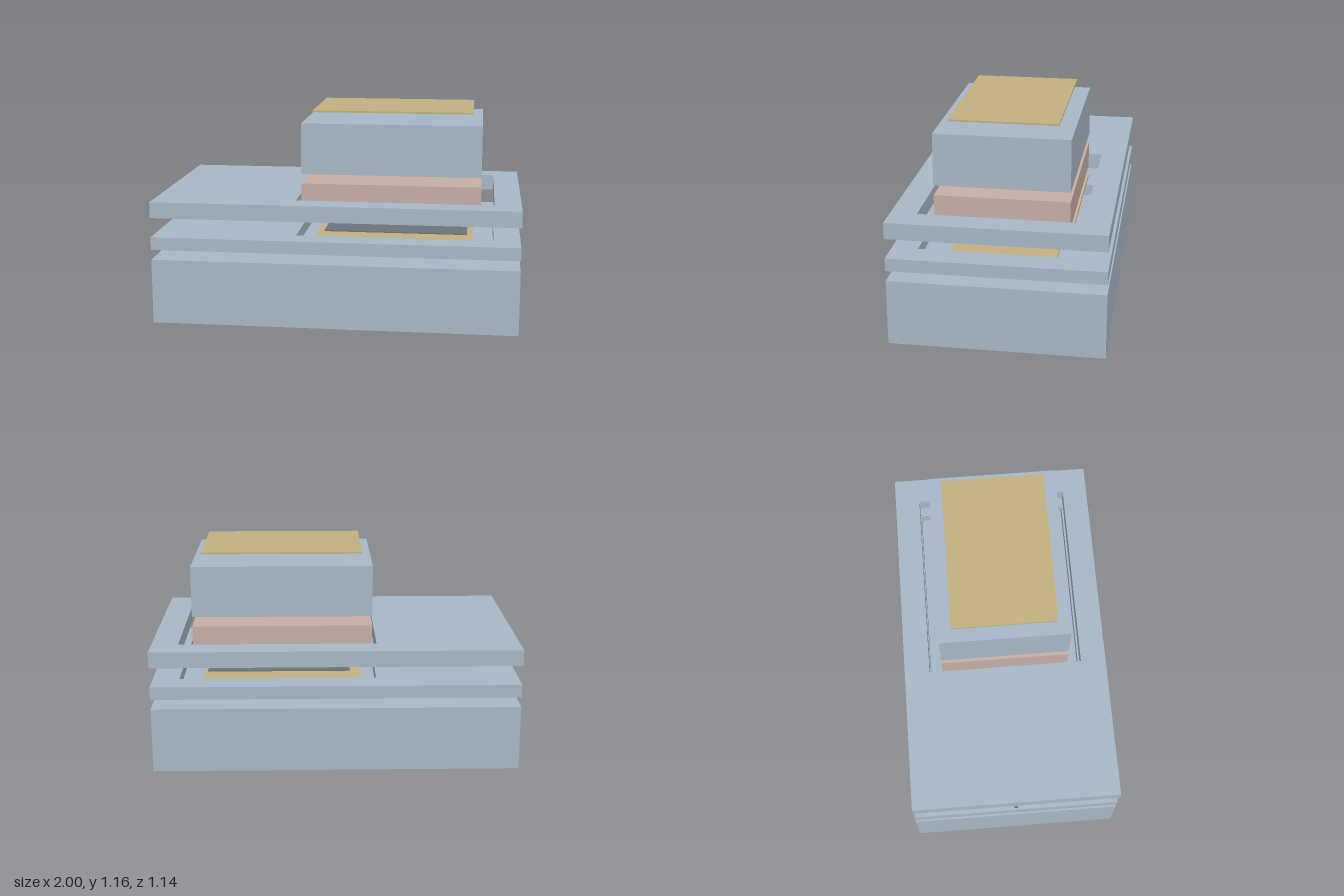
import * as THREE from 'three';

const paint = (name, color) => {
  const m = new THREE.MeshStandardMaterial({ color });
  m.name = name;
  return m;
};

export function createModel() {
  const model = new THREE.Group();
  const steel = paint('steel blue', 0xa7b7c6);
  const gold = paint('gold', 0xc2b080);
  const tan = paint('tan', 0xc8b38e);
  const clay = paint('clay', 0xc5aea4);
  const dark = paint('dark grey', 0x6a737c);

  // Block given by its limits on each axis
  const block = (name, mat, x0, x1, y0, y1, z0, z1) => {
    const mesh = new THREE.Mesh(new THREE.BoxGeometry(x1 - x0, y1 - y0, z1 - z0), mat);
    mesh.position.set((x0 + x1) / 2, (y0 + y1) / 2, (z0 + z1) / 2);
    mesh.name = name;
    model.add(mesh);
  };

  // Slab with a rectangular window cut through it
  const frame = (name, y0, y1) => {
    const rect = (C, x0, x1, z) => new C([[x0, -z], [x1, -z], [x1, z], [x0, z]]
      .map(([x, y]) => new THREE.Vector2(x, y)));
    const shape = rect(THREE.Shape, -1, 1, 0.57);
    shape.holes.push(rect(THREE.Path, -0.22, 0.855, 0.43));
    const geo = new THREE.ExtrudeGeometry(shape, { depth: y1 - y0, bevelEnabled: false });
    geo.rotateX(-Math.PI / 2);
    const mesh = new THREE.Mesh(geo, steel);
    mesh.position.y = y0;
    mesh.name = name;
    model.add(mesh);
  };

  // Solid base
  block('base', steel, -1, 1, 0, 0.358, -0.57, 0.57);

  // Lower tray: frame, recess floor and the sheet lying in it
  frame('trayFrame', 0.414, 0.484);
  block('trayFloor', steel, -0.22, 0.855, 0.414, 0.42, -0.43, 0.43);
  block('traySheet', gold, -0.145, 0.74, 0.42, 0.43, -0.285, 0.285);
  for (const s of [-1, 1]) {
    block('trayStrip', dark, -0.08, 0.71, 0.481, 0.487, s * 0.215 - 0.085, s * 0.215 + 0.085);
  }

  // Middle plate and the narrow lead running to the side
  block('middlePlate', tan, -0.2, 0.783, 0.541, 0.559, -0.356, 0.356);
  block('lead', dark, -1, -0.22, 0.538, 0.544, -0.01, 0.01);

  // Upper frame with the insert standing in its window
  frame('upperFrame', 0.592, 0.68);
  block('insert', clay, -0.2, 0.783, 0.614, 0.76, -0.356, 0.356);

  // Top block and cover sheet
  block('topBlock', steel, -0.2, 0.783, 0.813, 1.093, -0.356, 0.356);
  block('coverSheet', gold, -0.145, 0.73, 1.146, 1.156, -0.286, 0.286);

  return model;
}
